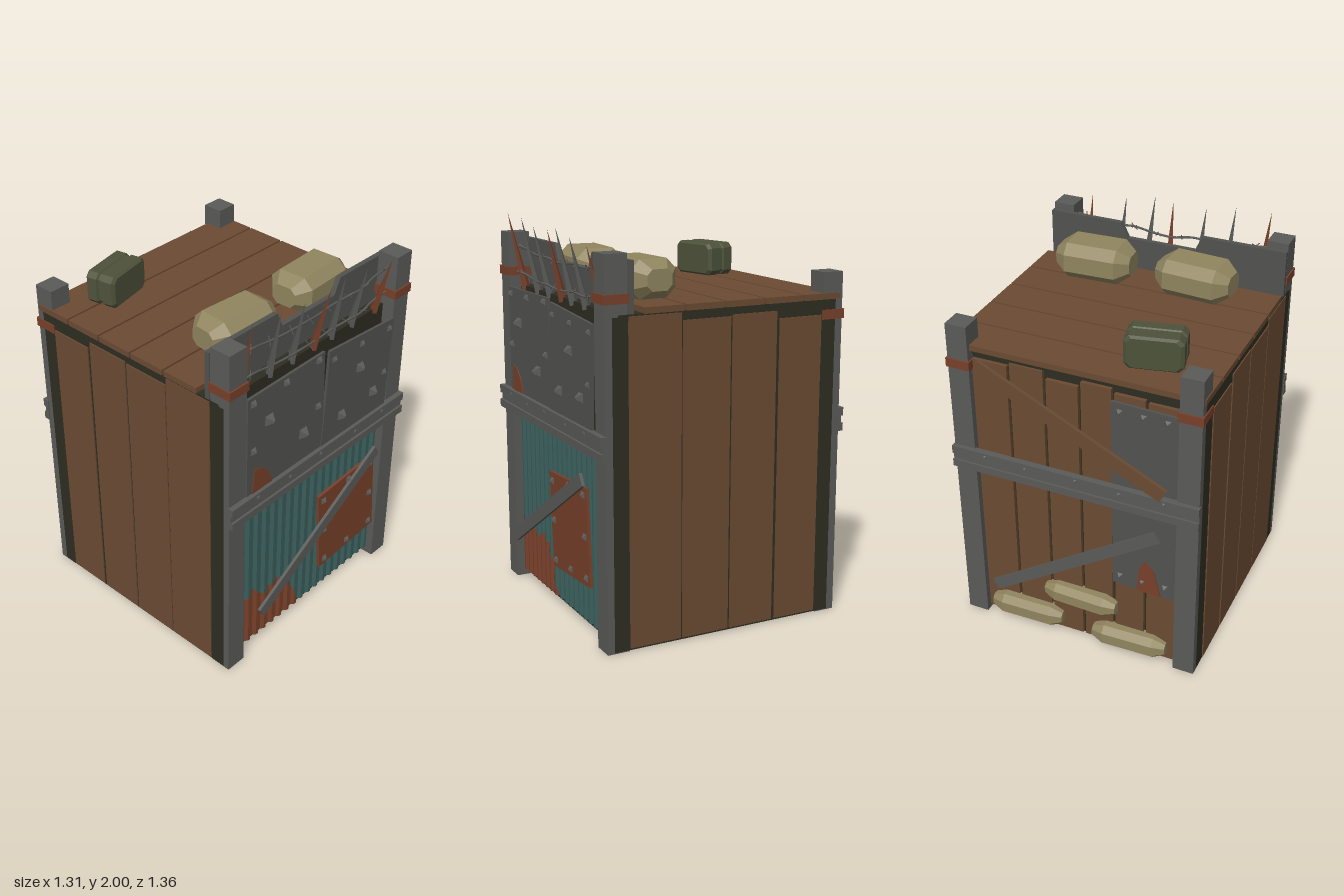
import * as THREE from 'three';

const mat = (name, color, side = THREE.FrontSide) => {
  const m = new THREE.MeshStandardMaterial({ color, side });
  m.name = name;
  return m;
};

export function createModel() {
  const root = new THREE.Group();
  root.name = 'scrapGuardTower';
  const steel = mat('steel', 0x5a5a58);
  const plate = mat('plateSteel', 0x52534f);
  const wood = mat('wood', 0x6b4b33);
  const rust = mat('rust', 0x78402a, THREE.DoubleSide);
  const teal = mat('tealPaint', 0x3a5e5b, THREE.DoubleSide);
  const dark = mat('darkFrame', 0x2d2d22);
  const sand = mat('sandbagCloth', 0x90855f);
  const olive = mat('olivePaint', 0x4d523a);

  const add = (name, geo, m, x = 0, y = 0, z = 0) => {
    const mesh = new THREE.Mesh(geo, m);
    mesh.name = name;
    mesh.position.set(x, y, z);
    root.add(mesh);
    return mesh;
  };
  const flat = (g) => {
    const f = g.index ? g.toNonIndexed() : g;
    f.computeVertexNormals();
    return f;
  };
  // box given by its minimum and maximum on each axis
  const box = (name, m, x0, x1, y0, y1, z0, z1) =>
    add(name, new THREE.BoxGeometry(x1 - x0, y1 - y0, z1 - z0), m, (x0 + x1) / 2, (y0 + y1) / 2, (z0 + z1) / 2);
  // flat sheet cut from an outline, starting at depth z
  const sheet = (name, m, pts, z, depth) => {
    const s = new THREE.Shape(pts.map((p) => new THREE.Vector2(p[0], p[1])));
    return add(name, new THREE.ExtrudeGeometry(s, { depth, bevelEnabled: false }), m, 0, 0, z);
  };
  // straight board between two points in a vertical plane
  const bar = (name, m, a, b, z, width, thick) => {
    const dx = b[0] - a[0], dy = b[1] - a[1];
    const mesh = add(name, new THREE.BoxGeometry(Math.hypot(dx, dy), width, thick), m, (a[0] + b[0]) / 2, (a[1] + b[1]) / 2, z);
    mesh.rotation.z = Math.atan2(dy, dx);
  };
  // four-sided studs, facing front (dir 1) or back (dir -1)
  const studs = (name, list, z, size, h, dir = 1, m = steel) => {
    const g = new THREE.CylinderGeometry(size * 0.12, size * 0.71, h, 4).rotateY(Math.PI / 4).rotateX(dir * Math.PI / 2);
    for (const [x, y] of list) add(name, flat(g), m, x, y, z + (dir * h) / 2);
  };
  // chamfered sections [x, scale] joined along x
  const loft = (stations, hy, hz, c) => {
    const pos = [], idx = [];
    for (const [x, s] of stations)
      for (const [y, z] of [[hy, -hz + c], [hy, hz - c], [hy - c, hz], [-hy + c, hz], [-hy, hz - c], [-hy, -hz + c], [-hy + c, -hz], [hy - c, -hz]])
        pos.push(x, y * s, z * s);
    const last = (stations.length - 1) * 8;
    for (let i = 0; i < last; i += 8)
      for (let j = 0; j < 8; j++) {
        const a = i + j, b = i + ((j + 1) % 8);
        idx.push(a, b, a + 8, b, b + 8, a + 8);
      }
    for (let j = 1; j < 7; j++) idx.push(0, j + 1, j, last, last + j, last + j + 1);
    const g = new THREE.BufferGeometry();
    g.setAttribute('position', new THREE.Float32BufferAttribute(pos, 3));
    g.setIndex(idx);
    return flat(g);
  };

  // hollow dark shell, open underneath
  box('frontWall', dark, -0.6, 0.6, 0.02, 1.61, 0.545, 0.57);
  box('backWall', dark, -0.6, 0.6, 0.02, 1.61, -0.59, -0.565);
  box('roofDeck', dark, -0.652, 0.652, 1.59, 1.62, -0.6, 0.57);

  // sides: dark panel with four planks, mirrored
  const sidePlanks = [[0.25, 0.52, 1.612], [-0.01, 0.243, 1.575], [-0.263, -0.02, 1.582], [-0.517, -0.28, 1.545]];
  for (const s of [-1, 1]) {
    const side = (name, m, a, b, ...r) => box(name, m, Math.min(s * a, s * b), Math.max(s * a, s * b), ...r);
    side('sideWall', dark, 0.6, 0.65, 0.01, 1.61, -0.6, 0.6);
    for (const [z0, z1, top] of sidePlanks) side('sidePlank', wood, 0.64, 0.656, 0.02, top, z0, z1);
    side('frontPost', steel, 0.537, 0.649, 0.005, 1.895, 0.522, 0.636);
    side('backPost', steel, 0.537, 0.649, 0.005, 1.75, -0.64, -0.53);
    side('frontStrap', rust, 0.53, 0.656, 1.67, 1.715, 0.515, 0.645);
    side('backStrap', rust, 0.53, 0.656, 1.52, 1.567, -0.649, -0.523);
  }

  // roof planks
  for (let i = 0; i < 5; i++) {
    const z = 0.44 - i * 0.2145;
    box('roofPlank', wood, -0.655, 0.655, 1.618, 1.648, z - 0.203, z);
  }

  // horizontal ribbed girders, front and back
  for (const d of [-1, 1]) {
    const girder = (y0, y1, depth) => box('girder', steel, -0.655, 0.655, y0, y1, Math.min(d * 0.63, d * depth), Math.max(d * 0.63, d * depth));
    girder(0.95, 1.07, 0.652);
    girder(0.95, 0.99, 0.664);
    girder(1.027, 1.07, 0.664);
    studs('girderRivet', [-0.48, -0.25, -0.02, 0.25, 0.47].map((x, i) => [x, 1.05 - (i % 2) * 0.01]), d * 0.664, 0.016, 0.008, d);
  }

  // front parapet with a notch
  sheet('parapet', plate, [[-0.65, 1.6], [0.65, 1.6], [0.65, 1.862], [0.25, 1.862], [0.21, 1.782], [-0.163, 1.782], [-0.2, 1.862], [-0.65, 1.862]], 0.49, 0.026);

  // studded upper armour
  sheet('leftArmour', plate, [[-0.535, 1.065], [0.005, 1.065], [0.012, 1.24], [0.0, 1.62], [-0.535, 1.615]], 0.628, 0.014);
  sheet('rightArmour', plate, [[0.0, 1.065], [0.512, 1.065], [0.535, 1.568], [0.032, 1.606], [0.014, 1.22]], 0.632, 0.014);
  sheet('armourRust', rust, [[-0.5, 1.07], [-0.36, 1.07], [-0.385, 1.14], [-0.435, 1.19], [-0.485, 1.205]], 0.641, 0.005);
  studs('armourSpike', [[-0.39, 1.44], [-0.14, 1.23], [0.275, 1.405], [0.148, 1.187], [0.397, 1.203]], 0.642, 0.052, 0.034);
  studs('armourBolt', [[-0.5, 1.58], [-0.275, 1.585], [-0.045, 1.595], [-0.495, 1.315], [-0.035, 1.33],
    [0.068, 1.548], [0.28, 1.538], [0.497, 1.526], [0.482, 1.278]], 0.642, 0.033, 0.02);

  // corrugated lower panel with a rust stain that follows the ribs
  const corrugated = (name, m, x0, x1, top, lift) => {
    const pos = [], idx = [], pitch = 0.061, wave = [0, 0.014, 0.014, 0];
    for (let i = 0, k = 0; x0 + (i * pitch) / 4 <= x1 + 1e-6; i++, k++) {
      const x = x0 + (i * pitch) / 4, z = 0.582 + wave[i % 4] + lift;
      pos.push(x, 0.045, z, x, top(x), z);
      if (k) idx.push(2 * k - 2, 2 * k, 2 * k - 1, 2 * k, 2 * k + 1, 2 * k - 1);
    }
    const g = new THREE.BufferGeometry();
    g.setAttribute('position', new THREE.Float32BufferAttribute(pos, 3));
    g.setIndex(idx);
    add(name, flat(g), m);
  };
  const stain = [[-0.54, 0.36], [-0.48, 0.33], [-0.42, 0.38], [-0.38, 0.32], [-0.33, 0.29], [-0.25, 0.335], [-0.175, 0.29], [-0.13, 0.23], [-0.06, 0.046], [0, 0.046]];
  const stainTop = (x) => {
    const i = stain.findIndex((p, k) => x <= stain[k + 1][0]);
    const [a, b] = [stain[i], stain[i + 1]];
    return a[1] + ((b[1] - a[1]) * (x - a[0])) / (b[0] - a[0]);
  };
  corrugated('corrugatedPanel', teal, -0.537, 0.54, () => 0.955, 0);
  corrugated('corrugatedRust', rust, -0.537, -0.06, stainTop, 0.003);

  // bolted rust patch and diagonal brace
  sheet('rustPatch', rust, [[0.035, 0.258], [0.487, 0.288], [0.45, 0.775], [0.003, 0.748]], 0.636, 0.016);
  studs('patchBolt', [[0.042, 0.707], [0.24, 0.735], [0.418, 0.735], [0.058, 0.505], [0.434, 0.53], [0.074, 0.298], [0.26, 0.31], [0.448, 0.325]], 0.652, 0.032, 0.016);
  bar('frontBrace', steel, [-0.445, 0.28], [0.445, 0.82], 0.668, 0.066, 0.016);

  // spikes leaning outward: base x, tip x, tip y
  const spikes = [[-0.49, -0.515, 2.0], [-0.305, -0.325, 1.99], [-0.15, -0.165, 1.96], [0.005, 0.02, 1.955], [0.137, 0.12, 1.975], [0.29, 0.285, 1.945], [0.47, 0.482, 1.92]];
  spikes.forEach(([bx, tx, ty], i) => {
    const a = new THREE.Vector3(bx, 1.6, 0.56), b = new THREE.Vector3(tx, ty, 0.645);
    const dir = b.clone().sub(a);
    const mesh = add('spike', flat(new THREE.ConeGeometry(0.024, dir.length(), 4)), i % 3 ? steel : rust);
    mesh.position.copy(a).add(b).multiplyScalar(0.5);
    mesh.quaternion.setFromUnitVectors(new THREE.Vector3(0, 1, 0), dir.normalize());
  });

  // barbed wire strands
  for (const y of [1.825, 1.69]) {
    const pts = [];
    for (let i = 0; i <= 10; i++) {
      const x = -0.54 + i * 0.108;
      pts.push(new THREE.Vector3(x, y - 0.03 * (1 - (x / 0.54) ** 2) + 0.007 * Math.sin(i * 2.1), 0.585 + 0.008 * Math.cos(i * 1.7)));
    }
    const curve = new THREE.CatmullRomCurve3(pts);
    add('barbedWire', new THREE.TubeGeometry(curve, 40, 0.006, 5), steel);
    for (let i = 0; i < 8; i++)
      for (const t of [-0.7, 0.7]) {
        const barb = add('wireBarb', new THREE.CylinderGeometry(0.003, 0.003, 0.05, 4), steel);
        barb.position.copy(curve.getPoint((i + 0.6) / 8));
        barb.rotation.set(t, 0, t + i * 0.3);
      }
  }

  // back planks and metal sheet
  const backPlanks = [[0.35, 0.535, 1.57], [0.16, 0.335, 1.59], [-0.02, 0.145, 1.55], [-0.19, -0.035, 1.58], [-0.36, -0.205, 1.56], [-0.535, -0.375, 1.55]];
  for (const [x0, x1, top] of backPlanks) box('backPlank', wood, x0, x1, 0.03, top, -0.61, -0.585);
  sheet('backSheet', plate, [[-0.535, 0.44], [-0.2, 0.46], [-0.195, 1.53], [-0.535, 1.52]], -0.628, 0.014);
  sheet('backSheetRust', rust, [[-0.46, 0.445], [-0.33, 0.452], [-0.345, 0.6], [-0.375, 0.645], [-0.42, 0.6]], -0.633, 0.006);
  studs('backSheetBolt', [-0.24, -0.36, -0.48].flatMap((x) => [[x, 1.48], [x, 0.51]]), -0.628, 0.03, 0.016, -1);
  bar('backWoodBrace', wood, [0.48, 1.575], [-0.48, 1.105], -0.672, 0.075, 0.018);
  bar('backSteelBrace', steel, [0.45, 0.25], [-0.45, 0.85], -0.67, 0.062, 0.014);

  // sandbags: x, y, z, turn, half height, half depth
  const bags = [[-0.25, 1.742, 0.3, -0.07, 0.094, 0.122], [0.295, 1.742, 0.29, 0.05, 0.094, 0.122],
    [0.29, 0.105, -0.622, 0.02, 0.062, 0.056], [-0.02, 0.285, -0.622, -0.03, 0.058, 0.054], [-0.29, 0.1, -0.622, 0.03, 0.062, 0.056]];
  for (const [x, y, z, turn, hy, hz] of bags)
    add('sandbag', loft([[-0.2, 0.55], [-0.135, 1], [0.135, 1], [0.2, 0.55]], hy, hz, hy * 0.52), sand, x, y, z).rotation.y = turn;

  // olive canister lying on the roof, with a recessed waist seam
  const can = loft([[-0.083, 0.88], [-0.07, 1], [-0.016, 1], [-0.01, 0.93], [0.01, 0.93], [0.016, 1], [0.07, 1], [0.083, 0.88]], 0.085, 0.142, 0.025);
  add('canister', can, olive, -0.33, 1.735, -0.415).rotation.y = 0.216 + Math.PI / 2;

  return root;
}
